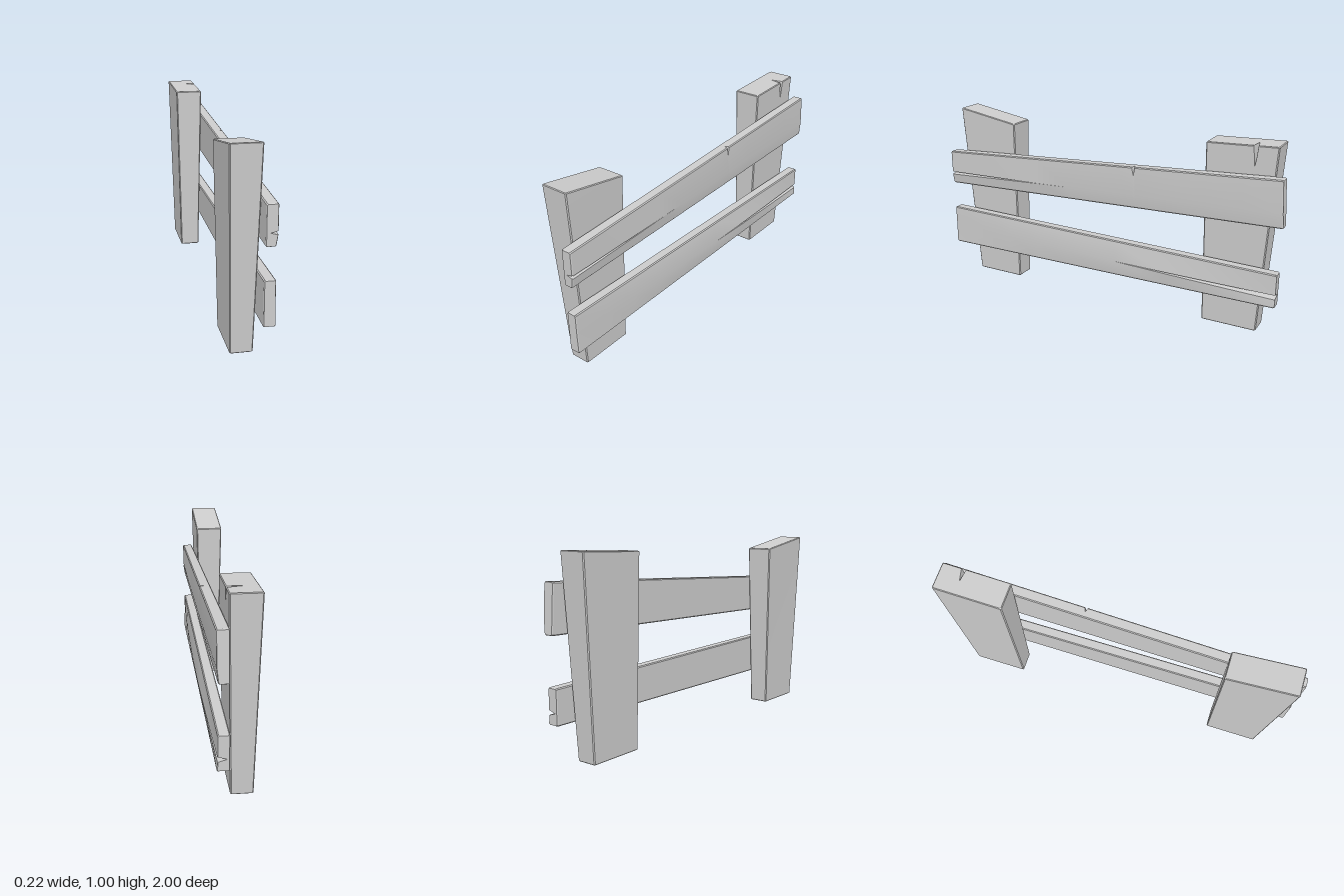
import * as THREE from 'three';
import { toCreasedNormals } from 'three/addons/utils/BufferGeometryUtils.js';

const { lerp, clamp } = THREE.MathUtils;
const material = new THREE.MeshStandardMaterial({ color: 0xcccccc });

// Joins rings of equal length (Vector3s, counter-clockwise about the travel
// direction) into a closed solid. flat() projects a ring for capping.
function loft(name, rings, flat) {
  const pos = [];
  const tri = (...pts) => pts.forEach((p) => pos.push(p.x, p.y, p.z));
  const n = rings[0].length;
  for (let r = 0; r < rings.length - 1; r++) {
    for (let i = 0; i < n; i++) {
      const j = (i + 1) % n, a = rings[r], b = rings[r + 1];
      tri(a[i], a[j], b[j]);
      tri(a[i], b[j], b[i]);
    }
  }
  const cap = (ring, flip) => {
    for (const [a, b, c] of THREE.ShapeUtils.triangulateShape(ring.map(flat), [])) {
      if (flip) tri(ring[a], ring[c], ring[b]);
      else tri(ring[a], ring[b], ring[c]);
    }
  };
  cap(rings[0], true);
  cap(rings[rings.length - 1], false);
  const geometry = new THREE.BufferGeometry();
  geometry.setAttribute('position', new THREE.Float32BufferAttribute(pos, 3));
  const mesh = new THREE.Mesh(toCreasedNormals(geometry, 0.35), material);
  mesh.name = name;
  return mesh;
}

// Tapered post with a slanted top; z pairs are [low z, high z].
// crackZ places an optional split in the top edge of the +x face.
function post(name, { bottom, top, topY, crackZ = null }) {
  const c = 0.005;
  const rings = [0, 0.004, 0.5, 0.88, 0.94, 0.996, 1].map((t) => {
    const inset = t === 0 || t === 1 ? 0.004 : 0;
    const z0 = lerp(bottom[0], top[0], t) + inset, z1 = lerp(bottom[1], top[1], t) - inset;
    const x0 = lerp(-0.09, -0.11, t) + inset, x1 = lerp(0.02, 0.04, t) - inset;
    const section = [
      [z0, x0 + c], [z0 + c, x0], [z1 - c, x0], [z1, x0 + c],
      [z1, x1 - c], [z1 - c, x1],
    ];
    if (crackZ !== null) {
      const k = clamp((t - 0.88) / 0.12, 0, 1);
      section.push([crackZ + 0.012 * k, x1], [crackZ + 0.004, x1 - 0.07 * k], [crackZ - 0.012 * k, x1]);
    }
    section.push([z0 + c, x1], [z0, x1 - c]);
    return section.map(([z, x]) => {
      const yTop = lerp(topY[0], topY[1], (z - top[0]) / (top[1] - top[0]));
      return new THREE.Vector3(x, t * yTop, z);
    });
  });
  return loft(name, rings, (p) => new THREE.Vector2(p.z, p.x));
}

// Plank running from back (t = 0) to front (t = 1), split along its outer face.
// low, high, outer and crackAt are [back, front] values.
function rail(name, o) {
  const c = 0.005;
  const steps = [0, 0.003, 0.1, 0.2, 0.3, 0.45, 0.6, 0.7, 0.8, 0.9, 0.997, 1];
  if (o.nick) steps.push(o.nick - 0.004, o.nick, o.nick + 0.004);
  steps.sort((a, b) => a - b);
  const rings = steps.map((t) => {
    const inset = t === 0 || t === 1 ? 0.003 : 0;
    const y0 = lerp(...o.low, t) + inset, y1 = lerp(...o.high, t) - inset;
    const x0 = o.inner + inset, x1 = lerp(...o.outer, t) - inset;
    const bulge = x1 + o.bulge * Math.sin(Math.PI * t);
    const yc = lerp(y0, y1, lerp(...o.crackAt, t));
    const along = o.crackEnd === 'front' ? t : 1 - t;
    const k = clamp((along - 1 + o.crackLength) / o.crackLength, 0, 1);
    const cut = t === o.nick ? 1 : 0;
    const section = [
      [x0, y0 + c], [x0 + c, y0], [x1 + o.lean - c, y0], [x1 + o.lean, y0 + c],
      [bulge, yc - o.crackWidth * k], [bulge - o.crackDepth * k, yc], [bulge, yc + o.crackWidth * k],
      [x1, y1 - c - 0.04 * cut], [x1 - c - 0.02 * cut, y1], [x0 + c, y1], [x0, y1 - c],
    ];
    return section.map(([x, y]) => {
      const zBack = lerp(o.back[0], o.back[1], (y - y0) / (y1 - y0));
      return new THREE.Vector3(x, y, lerp(zBack, 1, t));
    });
  });
  return loft(name, rings, (p) => new THREE.Vector2(p.x, p.y));
}

export function createModel() {
  const group = new THREE.Group();
  group.name = 'brokenFence';
  group.add(
    post('frontPost', { bottom: [0.595, 0.885], top: [0.58, 0.945], topY: [0.945, 1.005] }),
    post('backPost', { bottom: [-0.88, -0.58], top: [-0.94, -0.57], topY: [1.0, 0.985], crackZ: -0.825 }),
    rail('upperRail', {
      low: [0.615, 0.555], high: [0.86, 0.75], inner: 0.04, outer: [0.1, 0.096], lean: -0.008,
      bulge: 0.003, back: [-1, -0.985], crackAt: [0.32, 0.32], crackEnd: 'front',
      crackLength: 0.32, crackWidth: 0.008, crackDepth: 0.034, nick: 0.396,
    }),
    rail('lowerRail', {
      low: [0.19, 0.178], high: [0.37, 0.402], inner: 0.036, outer: [0.093, 0.091], lean: 0.003,
      bulge: 0.016, back: [-0.988, -0.988], crackAt: [0.33, 0.55], crackEnd: 'back',
      crackLength: 0.45, crackWidth: 0.012, crackDepth: 0.042,
    }),
  );
  return group;
}
